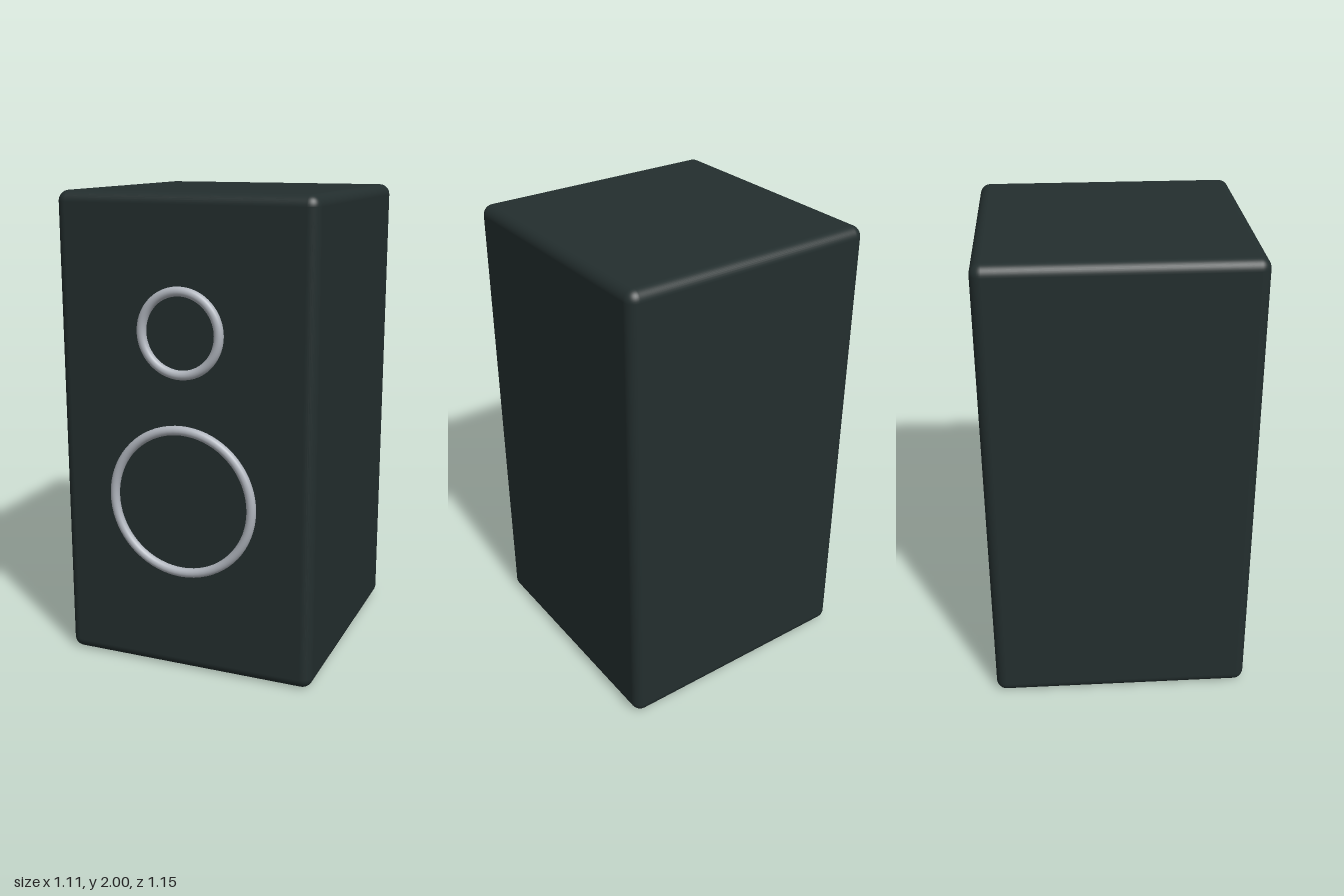
import * as THREE from 'three';
import { RoundedBoxGeometry } from 'three/addons/geometries/RoundedBoxGeometry.js';

export function createModel() {
  const model = new THREE.Group();
  model.name = 'loudspeaker';

  const cabinetMaterial = new THREE.MeshStandardMaterial({ color: 0x232e2e });
  cabinetMaterial.name = 'dark cabinet';
  const ringMaterial = new THREE.MeshStandardMaterial({ color: 0xb0b5bd });
  ringMaterial.name = 'silver trim';

  // Cabinet with softly rounded edges
  const cabinet = new THREE.Mesh(new RoundedBoxGeometry(1.11, 2, 1.11, 5, 0.045), cabinetMaterial);
  cabinet.name = 'cabinet';
  cabinet.position.set(0, 1, -0.02);
  model.add(cabinet);

  // Trim rings around the two drivers, resting on the front face
  const tube = 0.0195;
  const rings = [
    ['tweeterRing', 1.455, 0.167],
    ['wooferRing', 0.755, 0.305],
  ];
  for (const [name, y, radius] of rings) {
    const ring = new THREE.Mesh(new THREE.TorusGeometry(radius, tube, 16, 72), ringMaterial);
    ring.name = name;
    ring.position.set(0, y, 0.555);
    model.add(ring);
  }

  return model;
}
